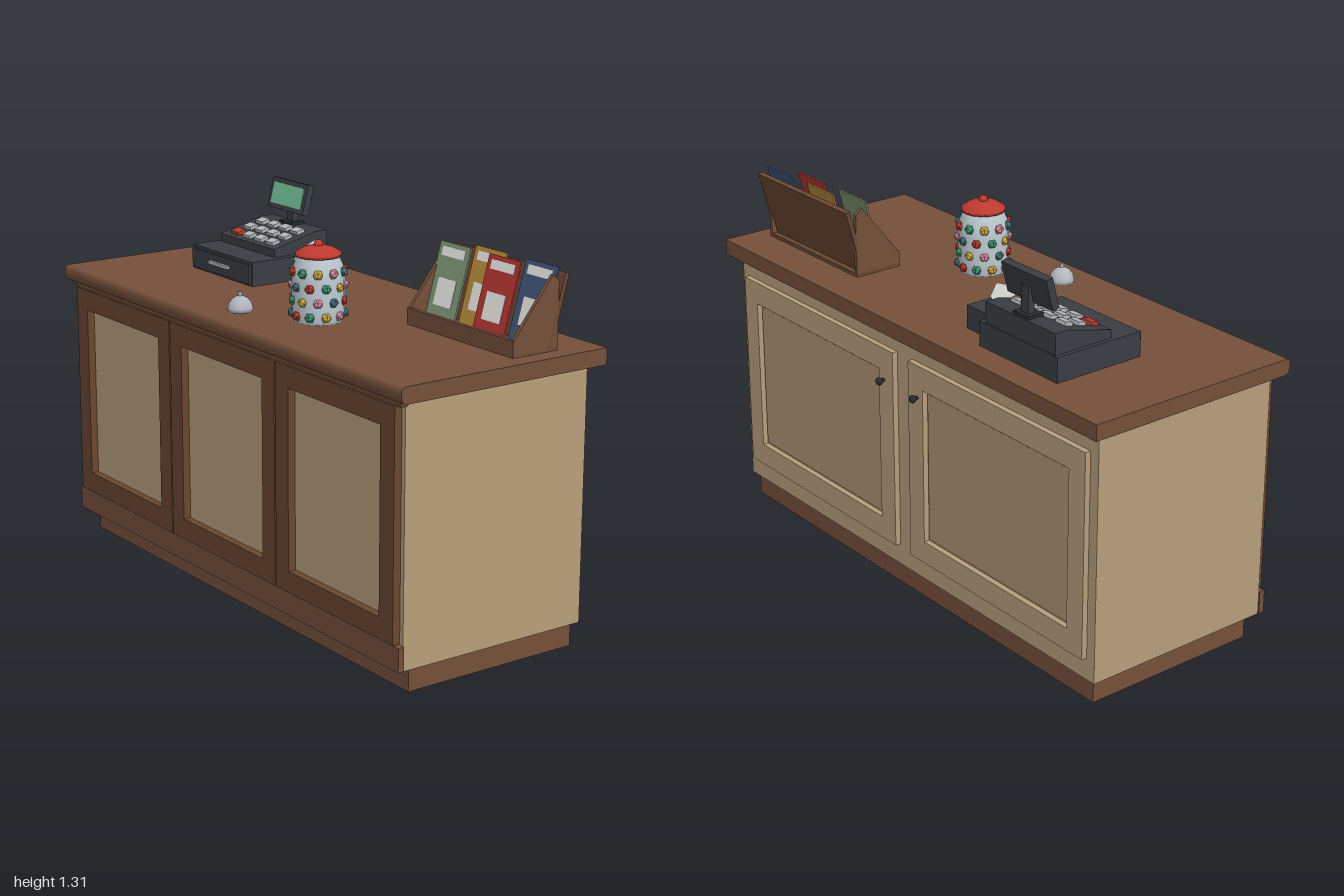
import * as THREE from 'three';

const mat = (color, opts = {}) => new THREE.MeshStandardMaterial({ color, ...opts });
const wood = mat(0x75503a), darkWood = mat(0x6b4730), beige = mat(0xb89f7c), doorBeige = mat(0xad9573);
const black = mat(0x3a3d42), darker = mat(0x2a2c30), grey = mat(0xb4b7bb), red = mat(0xc0392f), paper = mat(0xe8e8e4, { side: THREE.DoubleSide });
const TOP = 0.995;

export function createModel() {
  const root = new THREE.Group();

  const group = (name, parent = root) => {
    const g = new THREE.Group();
    g.name = name;
    parent.add(g);
    return g;
  };
  const add = (name, geo, material, parent = root, x = 0, y = 0, z = 0) => {
    const m = new THREE.Mesh(geo, material);
    m.name = name;
    m.position.set(x, y, z);
    parent.add(m);
    return m;
  };
  // box given by its extents
  const box = (name, material, [x0, x1], [y0, y1], [z0, z1], parent = root) =>
    add(name, new THREE.BoxGeometry(x1 - x0, y1 - y0, z1 - z0), material, parent,
      (x0 + x1) / 2, (y0 + y1) / 2, (z0 + z1) / 2);
  const polygon = pts => new THREE.Shape(pts.map(p => new THREE.Vector2(...p)));
  // extrude a (z, y) outline along x
  const prism = (name, material, shape, x0, x1, parent = root) => {
    const geo = new THREE.ExtrudeGeometry(shape, { depth: x1 - x0, bevelEnabled: false, curveSegments: 6 });
    geo.rotateY(-Math.PI / 2);
    return add(name, geo, material, parent, x1, 0, 0);
  };
  // rectangular frame with an opening, extruded along z
  const frame = (name, material, [x0, x1], [y0, y1], inner, [z0, z1], parent) => {
    const [a, b, c, d] = inner;
    const s = polygon([[x0, y0], [x1, y0], [x1, y1], [x0, y1]]);
    s.holes.push(polygon([[a, c], [a, d], [b, d], [b, c]]));
    return add(name, new THREE.ExtrudeGeometry(s, { depth: z1 - z0, bevelEnabled: false }), material, parent, 0, 0, z0);
  };

  // Cabinet
  const cabinet = group('cabinet');
  box('plinth', wood, [-0.94, 0.94], [0, 0.085], [-0.335, 0.318], cabinet);
  box('body', beige, [-0.962, 0.962], [0.083, 0.945], [-0.352, 0.357], cabinet);
  box('frontBaseboard', wood, [-0.967, 0.967], [0.085, 0.165], [0.357, 0.378], cabinet);
  box('frontTrim', darkWood, [-0.965, 0.965], [0.922, 0.942], [0.35, 0.376], cabinet);
  for (let i = -1; i <= 1; i++) {
    const c = i * 0.632;
    frame('frontPanelFrame', darkWood, [c - 0.313, c + 0.313], [0.168, 0.922],
      [c - 0.242, c + 0.242, 0.24, 0.85], [0.357, 0.384], cabinet);
  }

  // Countertop with rounded front edge
  const top = new THREE.Shape();
  top.moveTo(-0.397, 0.94);
  top.lineTo(0.385, 0.94);
  top.quadraticCurveTo(0.402, 0.945, 0.402, 0.97);
  top.quadraticCurveTo(0.402, TOP, 0.385, TOP);
  top.lineTo(-0.397, TOP);
  prism('countertop', wood, top, -1, 1);

  // Back doors with knobs
  for (const s of [-1, 1]) {
    const door = group(s > 0 ? 'leftDoor' : 'rightDoor');
    const span = (a, b) => s > 0 ? [a, b] : [-b, -a];
    frame('doorFrame', beige, span(0.042, 0.925), [0.16, 0.87],
      [...span(0.12, 0.85), 0.24, 0.79], [-0.372, -0.352], door);
    box('doorPanel', doorBeige, span(0.13, 0.84), [0.25, 0.78], [-0.359, -0.35], door);
    const stem = add('knobStem', new THREE.CylinderGeometry(0.006, 0.008, 0.02, 10), darker, door, s * 0.092, 0.757, -0.38);
    stem.rotation.x = Math.PI / 2;
    add('knob', new THREE.SphereGeometry(0.014, 12, 8), darker, door, s * 0.092, 0.757, -0.392).scale.z = 0.8;
  }

  // Cash register
  const register = group('cashRegister');
  box('drawerBase', black, [-0.70, -0.32], [TOP, 1.08], [-0.295, 0.043], register);
  box('drawerFront', black, [-0.69, -0.33], [1.003, 1.07], [0.043, 0.053], register);
  box('drawerHandle', grey, [-0.57, -0.45], [1.034, 1.046], [0.053, 0.064], register);
  prism('keyboardHousing', black, polygon([[-0.29, 1.08], [-0.065, 1.08], [-0.065, 1.108], [-0.24, 1.152], [-0.29, 1.152]]),
    -0.685, -0.345, register);
  const slope = Math.atan2(0.044, 0.175);
  const keys = group('keys', register);
  for (let r = 0; r < 3; r++) {
    for (let c = 0; c < 4; c++) {
      const z = -0.098 - r * 0.052;
      const key = add('key', new THREE.BoxGeometry(0.046, 0.016, 0.032), r === 0 && c === 0 ? red : grey,
        keys, -0.62 + c * 0.072, 1.108 + (-0.065 - z) * Math.tan(slope) + 0.004, z);
      key.rotation.x = slope;
    }
  }
  box('poleFoot', darker, [-0.55, -0.475], [1.15, 1.162], [-0.285, -0.225], register);
  box('displayPole', black, [-0.53, -0.495], [1.155, 1.25], [-0.27, -0.245], register);
  const display = group('display', register);
  display.position.set(-0.513, 1.25, -0.25);
  display.rotation.x = -0.25;
  add('displayCase', new THREE.BoxGeometry(0.218, 0.108, 0.026), black, display);
  add('displayScreen', new THREE.BoxGeometry(0.185, 0.075, 0.004), mat(0x6fbf98), display, 0, 0, 0.0135);

  // Receipt printer with a curling strip of paper
  const printer = group('receiptPrinter');
  box('printerCase', black, [-0.295, -0.18], [TOP, 1.075], [-0.235, -0.12], printer);
  const strip = new THREE.ShapeGeometry(polygon([[-0.165, 1.07], [-0.07, 1.09], [-0.11, 1.13], [-0.16, 1.15], [-0.185, 1.11]]));
  strip.rotateY(-Math.PI / 2);
  add('receipt', strip, paper, printer, -0.237, 0, 0);

  const lathe = (pts, n) => new THREE.LatheGeometry(pts.map(p => new THREE.Vector2(...p)), n);

  // Counter bell
  const bell = group('bell');
  bell.position.set(-0.055, TOP, 0.268);
  add('bellDome', lathe([[0, 0], [0.043, 0], [0.043, 0.012], [0.038, 0.028], [0.025, 0.044], [0.008, 0.052], [0, 0.052]], 12), grey, bell);
  add('bellButton', new THREE.CylinderGeometry(0.007, 0.007, 0.016, 8), grey, bell, 0, 0.058, 0);

  // Candy jar
  const jar = group('candyJar');
  jar.position.set(0.2, TOP, 0.133);
  add('jarBody', lathe([[0, 0], [0.078, 0], [0.084, 0.01], [0.087, 0.05], [0.087, 0.14], [0.083, 0.18], [0.07, 0.21], [0.066, 0.222], [0, 0.222]], 20),
    mat(0xbccbd2), jar);
  add('jarLid', lathe([[0, 0.215], [0.074, 0.215], [0.076, 0.226], [0.05, 0.242], [0.02, 0.25], [0, 0.25]], 16), red, jar);
  add('lidKnob', new THREE.SphereGeometry(0.016, 10, 6), red, jar, 0, 0.252, 0);
  const candyMats = [0xc0392f, 0x3f9a72, 0xd8ad3c, 0xd98a9c, 0x44747c].map(c => mat(c, { flatShading: true }));
  const candyGeo = new THREE.IcosahedronGeometry(0.018, 0);
  for (let r = 0; r < 4; r++) {
    for (let i = 0; i < 10; i++) {
      const a = (i + (r % 2) / 2) / 10 * Math.PI * 2;
      const candy = add('candy', candyGeo, candyMats[(i + r * 2) % 5], jar,
        Math.sin(a) * 0.083, 0.027 + r * 0.047, Math.cos(a) * 0.083);
      candy.rotation.y = a;
    }
  }

  // Brochure rack
  const rack = group('brochureRack');
  const side = polygon([[-0.25, TOP], [-0.072, TOP], [-0.072, 1.045], [-0.225, 1.237], [-0.25, 1.215]]);
  prism('rackSide', wood, side, 0.405, 0.418, rack);
  prism('rackSide', wood, side, 0.922, 0.935, rack);
  box('rackFloor', darkWood, [0.405, 0.935], [TOP, 1.007], [-0.25, -0.075], rack);
  box('rackLip', wood, [0.405, 0.935], [TOP, 1.05], [-0.086, -0.072], rack);
  prism('rackBack', darkWood, polygon([[-0.225, TOP], [-0.21, TOP], [-0.275, 1.238], [-0.29, 1.232]]), 0.405, 0.935, rack);

  // Leaning brochures, alternating between two rows
  const colours = [0x7f9474, 0xb58a3a, 0xb23632, 0x3f5478];
  [0.488, 0.61, 0.733, 0.856].forEach((x, i) => {
    const b = group('brochure', rack);
    b.position.set(x, 1.01, i % 2 ? -0.183 : -0.137);
    b.rotation.x = -0.27;
    add('cover', new THREE.BoxGeometry(0.152, 0.255, 0.006), mat(colours[i]), b, 0, 0.1275, 0);
    add('coverPicture', new THREE.BoxGeometry(0.09, 0.09, 0.002), paper, b, 0, 0.095, 0.0035);
    add('coverHeading', new THREE.BoxGeometry(0.115, 0.03, 0.002), paper, b, 0, 0.225, 0.0035);
  });

  return root;
}
